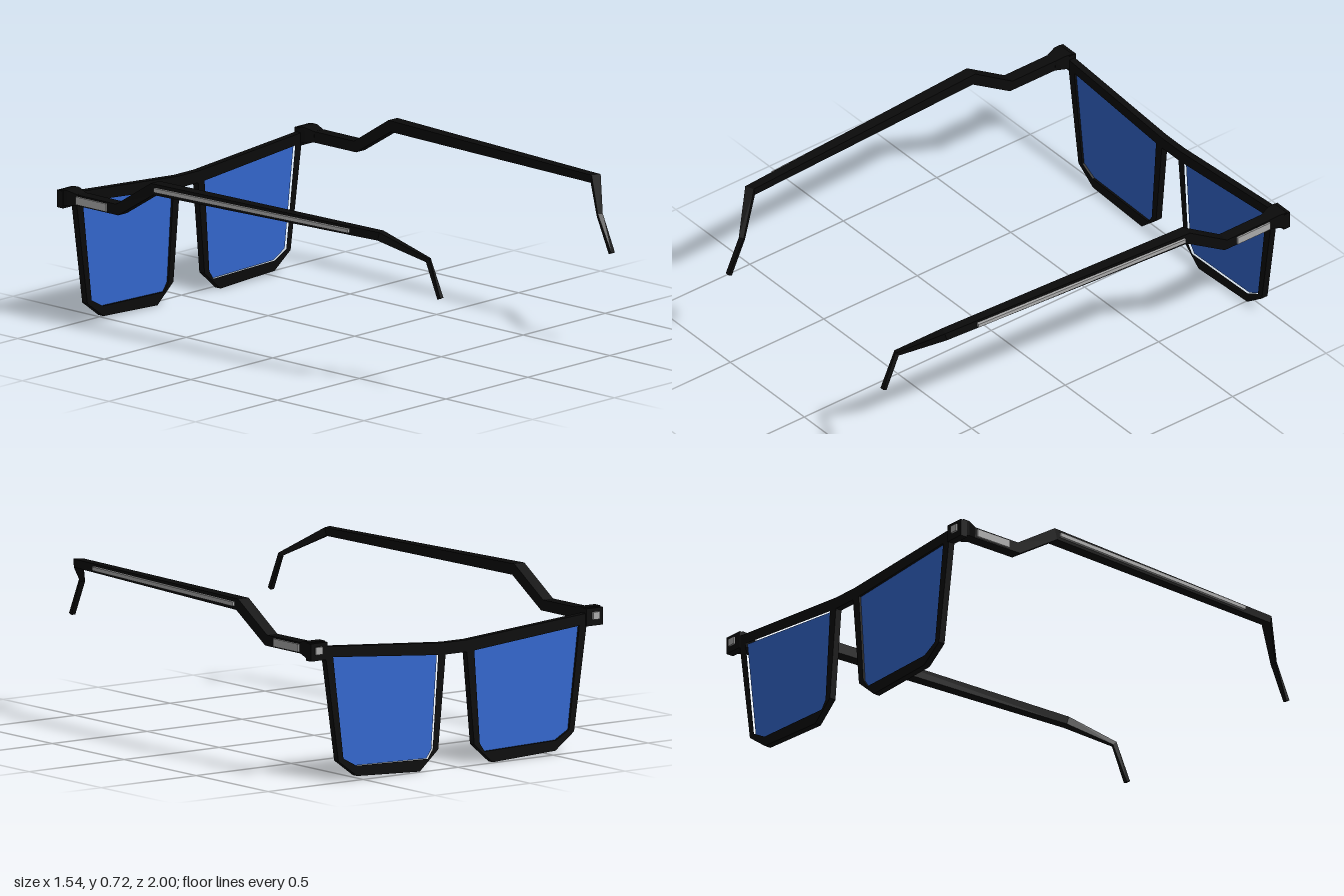
import * as THREE from 'three';

const mat = (color) => new THREE.MeshStandardMaterial({ color, flatShading: true });
const black = mat(0x0a0a0a), blue = mat(0x3366cc), silver = mat(0xaaaaaa);

function add(parent, name, geometry, material) {
  const mesh = new THREE.Mesh(geometry, material);
  mesh.name = name;
  parent.add(mesh);
  return mesh;
}

const points = (list, s = 1) => list.map(([x, y]) => new THREE.Vector2(x * s, y));

function plate(shape, z0, z1) {
  const g = new THREE.ExtrudeGeometry(shape, { depth: z1 - z0, bevelEnabled: false });
  return g.translate(0, 0, z0);
}

// Rectangular bar with mitred bends; stations are [x, y, z, width, height]
function bar(stations) {
  const p = stations.map(([x, y, z]) => new THREE.Vector3(x, y, z));
  const n = p.length, up = new THREE.Vector3(0, 1, 0), pos = [], idx = [];
  stations.forEach(([, , , w, h], i) => {
    const a = p[Math.min(i + 1, n - 1)].clone().sub(p[Math.min(i, n - 2)]).normalize();
    const b = p[Math.max(i, 1)].clone().sub(p[Math.max(i - 1, 0)]).normalize();
    const t = a.clone().add(b).normalize();
    const side = up.clone().cross(t).normalize();
    const top = t.clone().cross(side);
    for (const [u, v] of [[-1, -1], [1, -1], [1, 1], [-1, 1]]) {
      pos.push(...p[i].clone().addScaledVector(side, u * w / 2).addScaledVector(top, v * h / 2).toArray());
    }
  });
  for (let i = 0; i < n - 1; i++) {
    for (let k = 0; k < 4; k++) {
      const a = i * 4 + k, b = i * 4 + (k + 1) % 4;
      idx.push(a, b, b + 4, a, b + 4, a + 4);
    }
  }
  const e = (n - 1) * 4;
  idx.push(0, 2, 1, 0, 3, 2, e, e + 1, e + 2, e, e + 2, e + 3);
  const g = new THREE.BufferGeometry();
  g.setAttribute('position', new THREE.Float32BufferAttribute(pos, 3));
  g.setIndex(idx);
  const flat = g.toNonIndexed();
  flat.computeVertexNormals();
  return flat;
}

export function createModel() {
  const model = new THREE.Group();
  model.name = 'glasses';

  // Half outline from the bridge top, around the rim, to the bridge underside
  const half = [[0.06, 0.538], [0.7, 0.587], [0.7, 0.532], [0.685, 0.53], [0.62, 0.09],
    [0.522, 0.018], [0.192, 0.003], [0.095, 0.087], [0.056, 0.487]];
  const lens = [[0.095, 0.489], [0.648, 0.537], [0.594, 0.1], [0.525, 0.062], [0.15, 0.053], [0.124, 0.09]];

  // Front frame with two lens openings
  const frame = new THREE.Shape([...points(half), ...points(half, -1).reverse()]);
  for (const s of [1, -1]) frame.holes.push(new THREE.Path(points(lens, s)));
  add(model, 'frontFrame', plate(frame, -0.987, -0.957), black);

  for (const s of [1, -1]) {
    const name = s > 0 ? 'left' : 'right';
    add(model, name + 'Lens', plate(new THREE.Shape(points(lens, s)), -0.977, -0.967), blue);

    // Temple arm, bent up behind the hinge and hooked at the ear
    add(model, name + 'Temple', bar([
      [s * 0.726, 0.575, -0.97, 0.054, 0.048],
      [s * 0.726, 0.575, -0.66, 0.054, 0.048],
      [s * 0.726, 0.7, -0.46, 0.054, 0.05],
      [s * 0.657, 0.7, 0.77, 0.042, 0.036],
      [s * 0.523, 0.595, 0.92, 0.022, 0.02],
      [s * 0.523, 0.44, 0.99, 0.02, 0.018],
    ]), black);

    // Hinge block and its tapering knuckle
    const block = add(model, name + 'HingeBlock', new THREE.BoxGeometry(0.087, 0.075, 0.035), black);
    block.position.set(s * 0.725, 0.568, -0.974);
    add(model, name + 'HingeKnuckle', bar([
      [s * 0.725, 0.574, -0.97, 0.085, 0.072],
      [s * 0.725, 0.578, -0.94, 0.078, 0.066],
      [s * 0.725, 0.575, -0.895, 0.054, 0.048],
    ]), black);

    // Silver trim: front rivet, short side plate and long side strip
    const rivet = add(model, name + 'Rivet', new THREE.BoxGeometry(0.036, 0.032, 0.012), silver);
    rivet.position.set(s * 0.73, 0.573, -0.994);
    const sidePlate = add(model, name + 'SidePlate', new THREE.BoxGeometry(0.014, 0.034, 0.175), silver);
    sidePlate.position.set(s * 0.754, 0.574, -0.805);
    add(model, name + 'SideStrip', bar([
      [s * 0.753, 0.7, -0.44, 0.02, 0.018],
      [s * 0.69, 0.7, 0.62, 0.02, 0.016],
    ]), silver);
  }
  return model;
}
